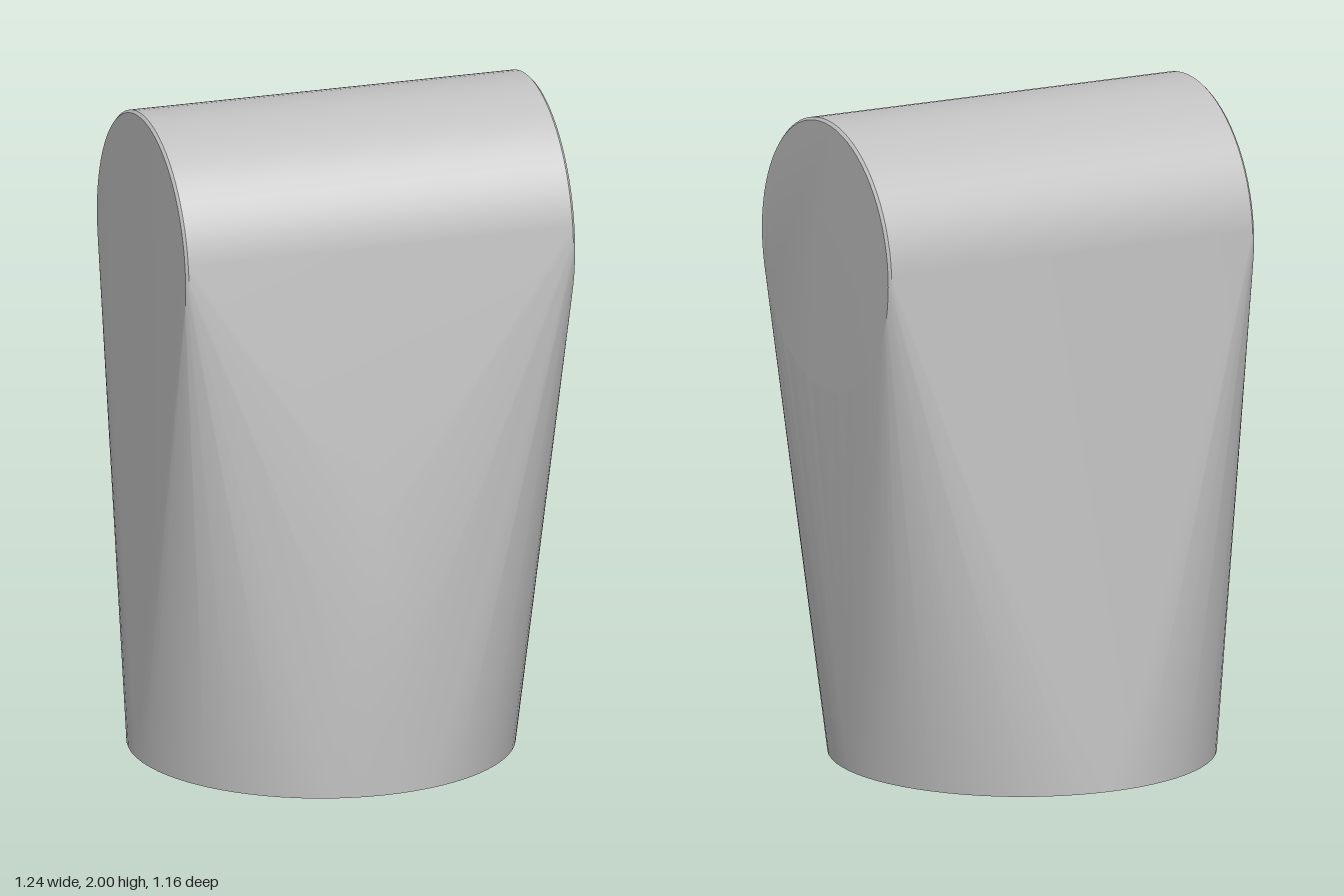
import * as THREE from 'three';
import { ConvexGeometry } from 'three/addons/geometries/ConvexGeometry.js';
import { toCreasedNormals } from 'three/addons/utils/BufferGeometryUtils.js';

export function createModel() {
  const group = new THREE.Group();
  const grey = new THREE.MeshStandardMaterial({ color: 0xc0c0c0 });
  grey.name = 'plain grey';
  const points = [];

  // Horizontal rounded top: a cylinder along x with slightly eased end rims
  const topRings = [[-0.605, 0.41], [-0.597, 0.418], [0.607, 0.418], [0.615, 0.41]];
  for (const [x, r] of topRings) {
    for (let i = 0; i < 72; i++) {
      const a = (i / 72) * Math.PI * 2;
      points.push(new THREE.Vector3(x, 1.582 + r * Math.sin(a), r * Math.cos(a)));
    }
  }

  // Round foot
  const footX = -0.042;
  for (let i = 0; i < 72; i++) {
    const a = (i / 72) * Math.PI * 2;
    points.push(new THREE.Vector3(footX + 0.578 * Math.sin(a), 0, 0.578 * Math.cos(a)));
  }

  // Gentle swell of the front face, in stacked arcs
  const swell = [[0.2, 0.576], [0.4, 0.57], [0.6, 0.558], [0.8, 0.537], [1.0, 0.51]];
  for (const [y, r] of swell) {
    for (let i = -10; i <= 10; i++) {
      const a = (i / 10) * 0.9;
      points.push(new THREE.Vector3(footX + r * Math.sin(a), y, r * Math.cos(a)));
    }
  }

  // One taut skin joins the round foot to the rounded top
  const body = new THREE.Mesh(toCreasedNormals(new ConvexGeometry(points), 0.4), grey);
  body.name = 'body';
  group.add(body);
  return group;
}
